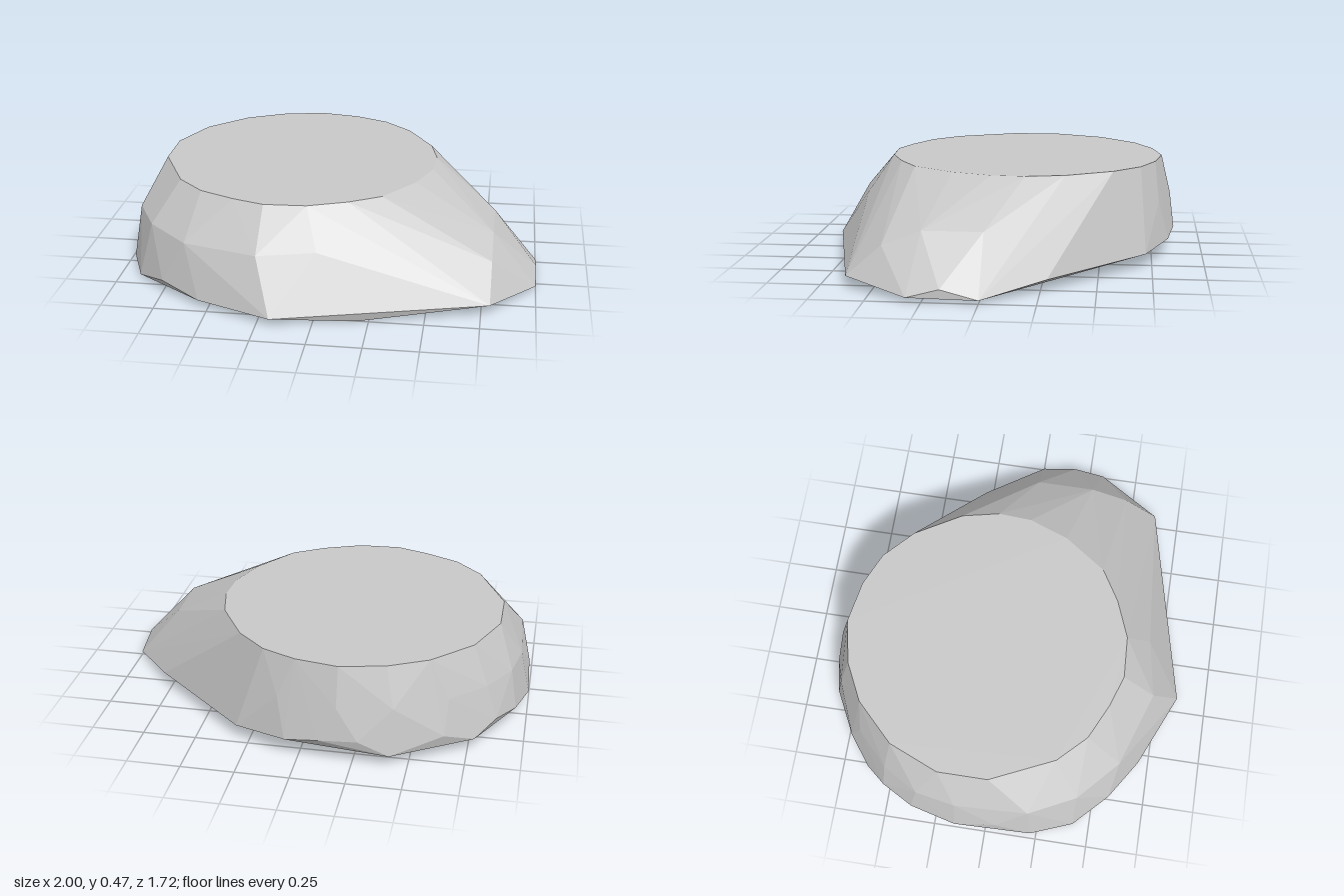
import * as THREE from 'three';
import { ConvexGeometry } from 'three/addons/geometries/ConvexGeometry.js';

export function createModel() {
  const group = new THREE.Group();
  group.name = 'flatRock';
  const stone = new THREE.MeshStandardMaterial({ color: 0xc8c8c8 });
  stone.name = 'stoneGrey';

  // flat top rim, [x, z] at one height
  const rim = [
    [-0.18, -0.795], [0.02, -0.76], [0.18, -0.69], [0.32, -0.56], [0.45, -0.34],
    [0.49, -0.16], [0.48, 0], [0.41, 0.19], [0.27, 0.39], [0.12, 0.48],
    [-0.06, 0.55], [-0.26, 0.56], [-0.41, 0.51], [-0.58, 0.43], [-0.71, 0.3],
    [-0.85, 0], [-0.85, -0.24], [-0.75, -0.48], [-0.57, -0.66], [-0.39, -0.75],
  ].map(([x, z]) => [x, 0.468, z]);

  // chipped shoulder around the middle
  const shoulder = [
    [0.79, 0.27, 0], [0.79, 0.27, 0.28], [0.79, 0.2, 0.46], [0, 0.29, 0.67],
    [-0.27, 0.28, 0.72], [-0.63, 0.27, 0.6], [-0.83, 0.28, 0.42],
    [-0.94, 0.28, 0.2], [-0.955, 0.28, -0.15], [-0.92, 0.28, -0.34],
    [-0.82, 0.28, -0.51], [-0.66, 0.28, -0.66], [-0.43, 0.28, -0.8],
    [-0.18, 0.28, -0.84], [0.1, 0.28, -0.78], [0.3, 0.31, -0.64],
  ];

  // widest outline, close to the ground
  const skirt = [
    [0.79, 0.06, -0.28], [1, 0.015, 0], [1, 0.06, 0.17], [1, 0.02, 0.32],
    [0.79, 0.055, 0.625], [-0.19, 0.035, 0.855], [-0.55, 0.03, 0.7],
    [-0.75, 0.06, 0.575], [-0.9, 0.01, 0.42], [-0.98, 0.02, 0.22],
    [-1, 0.07, -0.15], [-0.99, 0.14, 0.05], [-0.95, 0.1, -0.37],
    [-0.87, 0.12, -0.52], [-0.78, 0.06, -0.62], [-0.65, 0.12, -0.72],
    [-0.42, 0.06, -0.84], [-0.28, 0.13, -0.86], [-0.1, 0.12, -0.86],
    [0.06, 0.09, -0.83], [0.31, 0.07, -0.72],
  ];

  // contact points of the underside
  const base = [[0.2, 0, 0.75], [0.2, 0, -0.3], [-0.6, 0.005, -0.3]];

  const points = [...rim, ...shoulder, ...skirt, ...base]
    .map((p) => new THREE.Vector3(...p));
  const rock = new THREE.Mesh(new ConvexGeometry(points), stone);
  rock.name = 'rock';
  group.add(rock);
  return group;
}
